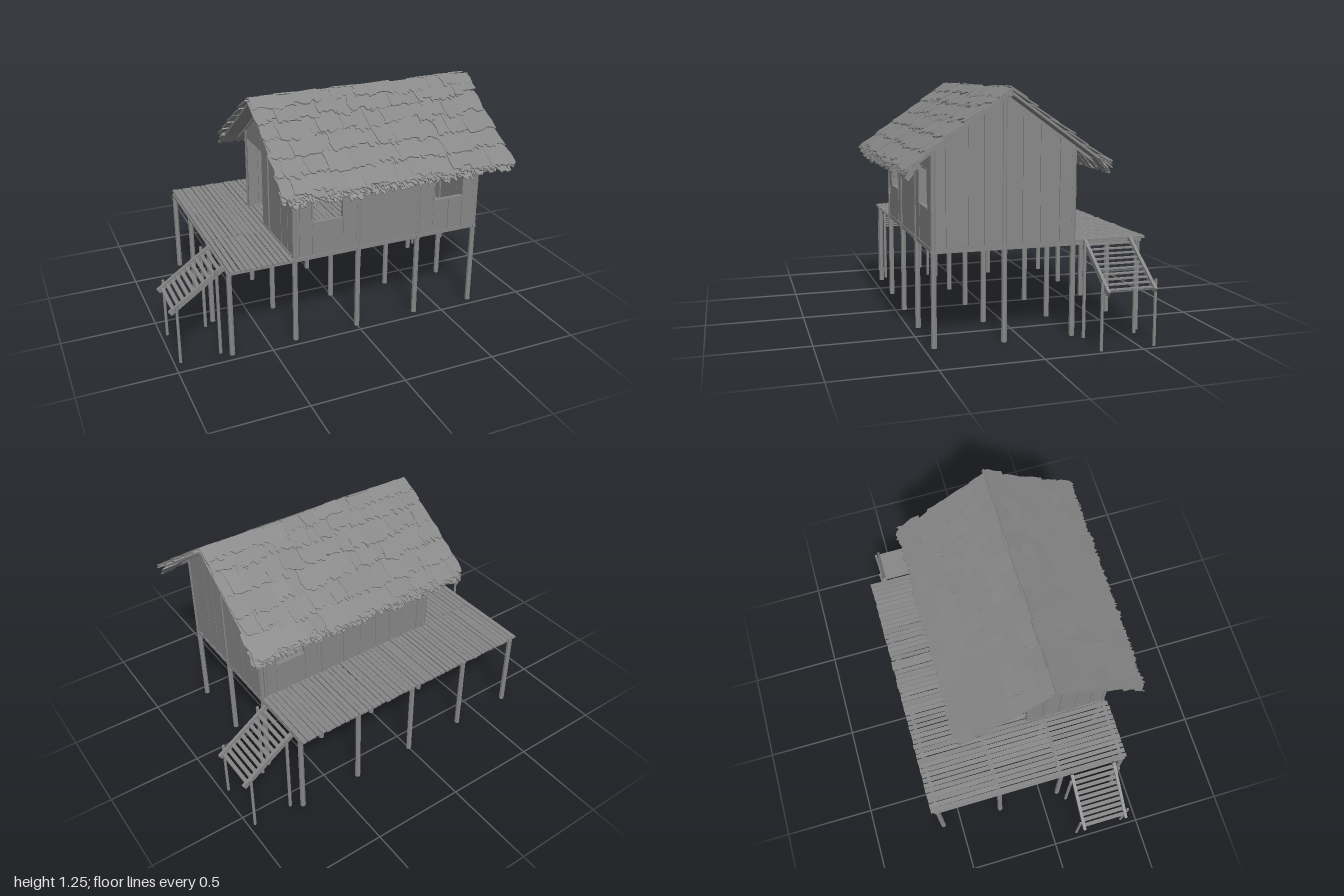
import * as THREE from 'three';
import { mergeGeometries } from 'three/addons/utils/BufferGeometryUtils.js';

const material = new THREE.MeshStandardMaterial({ color: 0x878787, flatShading: true, side: THREE.DoubleSide });

// Small seeded generator for hand-made irregularity
let seed = 7;
const rand = () => (seed = (seed * 16807) % 2147483647) / 2147483647;
const jitter = (a) => (rand() * 2 - 1) * a;

const POST_X = [-0.705, -0.355, 0, 0.35, 0.7];
const POST_Z = [0.45, 0.1, -0.255, -0.605];
const RIDGE_Z = 0.1, RIDGE_Y = 1.205, SLOPE = 0.71;
const FLOOR = 0.475;
const roofAt = (z) => RIDGE_Y - SLOPE * Math.abs(z - RIDGE_Z);

function part(name, geometries) {
  const mesh = new THREE.Mesh(mergeGeometries(geometries.map((g) => (g.index ? g.toNonIndexed() : g))), material);
  mesh.name = name;
  return mesh;
}

function box(w, h, d, x, y, z, rz = 0) {
  return new THREE.BoxGeometry(w, h, d).rotateZ(rz).translate(x, y, z);
}

function pole(x, z, top, r) {
  return new THREE.CylinderGeometry(r * 0.95, r, top, 7).rotateY(rand()).translate(x, top / 2, z);
}

function extrude(points, depth) {
  const shape = new THREE.Shape(points.map(([x, y]) => new THREE.Vector2(x, y)));
  return new THREE.ExtrudeGeometry(shape, { depth, bevelEnabled: false });
}

// Vertical boards between the cut positions, leaving the openings [u0, u1, bottom, top] free
function boards(cuts, openings, topAt) {
  const out = [];
  for (let i = 0; i < cuts.length - 1; i++) {
    const a = cuts[i], b = cuts[i + 1], mid = (a + b) / 2;
    const hole = openings.find((o) => mid > o[0] && mid < o[1]);
    const t = 0.012 + rand() * 0.005;
    const add = (y0, ya, yb) =>
      out.push(extrude([[a + 0.001, y0], [b - 0.001, y0], [b - 0.001, yb], [a + 0.001, ya]], t).translate(0, 0, -t / 2));
    if (!hole) add(FLOOR - 0.005, topAt(a), topAt(b));
    else {
      if (hole[2] > FLOOR) add(FLOOR - 0.005, hole[2], hole[2]);
      add(hole[3], topAt(a), topAt(b));
    }
  }
  return out;
}

// Thatch bundle hanging down from y = 0 with a torn lower edge and rough sides
function bundle(w, length) {
  const n = 7;
  const pts = [[0, 0], [jitter(0.008), -length * 0.35], [jitter(0.01), -length * 0.7]];
  for (let i = 0; i <= n; i++) pts.push([(w * i) / n + jitter(w * 0.05), -length + jitter(0.016)]);
  pts.push([w + jitter(0.01), -length * 0.6], [w + jitter(0.008), -length * 0.3], [w, 0]);
  return extrude(pts, 0.007);
}

// One course of bundles across the roof
function course(start, length, lift, tilt, width) {
  const out = [];
  let x = -0.632 + jitter(0.014);
  while (x < 0.6) {
    let w = width * (0.5 + rand());
    if (x + w > 0.6) w = 0.632 - x + jitter(0.014);
    out.push(bundle(w + 0.012, length * (0.88 + rand() * 0.2))
      .rotateZ(jitter(0.05))
      .rotateY(jitter(0.04))
      .rotateX(-tilt - rand() * 0.05)
      .translate(x, -start + jitter(0.006), lift + rand() * 0.006));
    x += w;
  }
  return out;
}

function roofSide(name, flip) {
  const side = new THREE.Group();
  side.name = name;
  const slope = new THREE.Group();
  slope.rotation.x = -(Math.PI / 2 - Math.atan(SLOPE));
  slope.add(part('roofBase', [box(1.25, 0.59, 0.012, 0, -0.295, 0.006)]));
  for (let i = 4; i >= 0; i--) slope.add(part('thatchCourse', course(i * 0.113, 0.15, 0.012, 0.05, 0.085)));
  // Ragged clump along the eave
  slope.add(part('eaveFringe', [
    ...course(0.535, 0.085, -0.004, -0.26, 0.045),
    ...course(0.545, 0.07, 0.004, -0.08, 0.04),
    ...course(0.54, 0.07, 0.012, 0.06, 0.04),
  ]));
  slope.add(part('ridgeCap', course(-0.016, 0.08, 0.017, 0.02, 0.1)));
  // Rafters under the slope
  slope.add(part('rafters', [-0.53, -0.17, 0.18, 0.53].map((x) => box(0.018, 0.58, 0.014, x, -0.3, -0.006))));
  side.add(slope);
  side.position.set(0.17, RIDGE_Y, RIDGE_Z);
  side.rotation.y = flip ? Math.PI : 0;
  return side;
}

// Flight of steps going down towards +x from the deck edge
function stairs(name) {
  const g = new THREE.Group();
  g.name = name;
  const angle = -Math.atan2(0.2, 0.29);
  const rails = [], posts = [], treads = [];
  for (const s of [-1, 1]) {
    rails.push(box(0.345, 0.026, 0.016, 0.857, 0.38, s * 0.121, angle));
    posts.push(pole(0.757, s * 0.138, 0.48, 0.009), pole(0.967, s * 0.138, 0.33, 0.008));
  }
  for (let i = 0; i < 10; i++) {
    const t = i / 9;
    treads.push(box(0.02, 0.007, 0.235, 0.735 + t * 0.243, 0.463 - t * 0.168, jitter(0.003)));
  }
  g.add(part('stringers', rails), part('stairPosts', posts), part('treads', treads));
  return g;
}

export function createModel() {
  const model = new THREE.Group();
  model.name = 'stiltHouse';

  // Stilts; those on the house outline rise to the roof
  const stilts = [];
  POST_X.forEach((x, i) => POST_Z.forEach((z, j) => {
    const onWall = i > 0 && j < 3 && (j !== 1 || i === 1 || i === 4);
    stilts.push(pole(x, z, onWall ? roofAt(z) - 0.005 : FLOOR, 0.0145));
  }));
  model.add(part('stilts', stilts));

  // Floor beams in both directions
  model.add(part('floorBeams', [
    ...POST_Z.map((z) => box(1.42, 0.016, 0.018, 0, 0.467, z)),
    ...POST_X.map((x) => box(0.018, 0.014, 1.09, x, 0.466, -0.078)),
  ]));

  // Floor planks in three bays, a little uneven in length and height
  const planks = [];
  const count = 50, pitch = 1.42 / count;
  for (const [z0, z1, uneven] of [[-0.64, -0.262, 0.003], [-0.258, 0.092, 0.004], [0.096, 0.478, 0.004]]) {
    for (let i = 0; i < count; i++) {
      const x = -0.71 + (i + 0.5) * pitch;
      const end = x > -0.36 && z1 > 0.4 ? 0.455 : z1;
      planks.push(new THREE.BoxGeometry(pitch * (0.74 + rand() * 0.18), 0.011, end - z0 + jitter(uneven))
        .rotateZ(jitter(0.05))
        .rotateY(jitter(0.006))
        .translate(x, 0.481 + jitter(0.002), (z0 + end) / 2 + jitter(0.002)));
    }
  }
  model.add(part('floorPlanks', planks));

  // Long walls with window openings
  const eave = () => roofAt(0.45) - 0.004;
  const leftWindow = [0.44, 0.615, 0.66, 0.85], rightWindow = [-0.26, -0.09, 0.66, 0.85];
  const front = boards([-0.36, -0.33, -0.26, -0.09, 0, 0.35, 0.44, 0.53, 0.615, 0.68, 0.706], [leftWindow, rightWindow], eave);
  const back = boards([-0.36, -0.3, -0.19, -0.11, 0, 0.09, 0.2, 0.35, 0.44, 0.615, 0.67, 0.706], [leftWindow], eave);
  model.add(part('frontWall', front.map((g) => g.translate(0, 0, 0.45))));
  model.add(part('backWall', back.map((g) => g.translate(0, 0, -0.252))));

  // Slim lining around each window
  const lining = [];
  for (const [[x0, x1, y0, y1], z] of [[leftWindow, 0.45], [rightWindow, 0.45], [leftWindow, -0.252]]) {
    for (const x of [x0, x1]) lining.push(box(0.007, y1 - y0, 0.022, x, (y0 + y1) / 2, z));
    for (const y of [y0, y1]) lining.push(box(x1 - x0 + 0.007, 0.007, 0.022, (x0 + x1) / 2, y, z));
  }
  model.add(part('windowLining', lining));

  // Gable walls, the one facing the side deck with a doorway
  const gableCuts = [-0.26, -0.18, -0.08, 0.01, 0.1, 0.2, 0.28, 0.39, 0.44, 0.46];
  const doorCuts = [-0.26, -0.23, 0, 0.1, 0.19, 0.28, 0.37, 0.46];
  const gableTop = (z) => roofAt(z) - 0.002;
  const turn = (x) => (g) => g.rotateY(-Math.PI / 2).translate(x, 0, 0);
  model.add(part('leftGable', boards(gableCuts, [], gableTop).map(turn(0.7))));
  model.add(part('rightGable', boards(doorCuts, [[-0.23, 0, FLOOR, 0.9]], gableTop).map(turn(-0.355))));

  // Sill around the foot of the house
  model.add(part('sill', [
    box(1.08, 0.012, 0.022, 0.172, 0.474, 0.45), box(0.022, 0.012, 0.72, 0.7, 0.474, 0.1),
  ]));

  // Thatched roof and ridge pole
  model.add(roofSide('frontRoof', false), roofSide('backRoof', true));
  model.add(part('ridgePole', [box(1.24, 0.02, 0.02, 0.17, RIDGE_Y - 0.004, RIDGE_Z)]));

  // Stairs at both ends of the deck
  const left = stairs('leftStairs');
  left.position.z = -0.433;
  const right = stairs('rightStairs');
  right.rotation.y = Math.PI;
  right.position.z = 0.277;
  model.add(left, right);

  return model;
}
